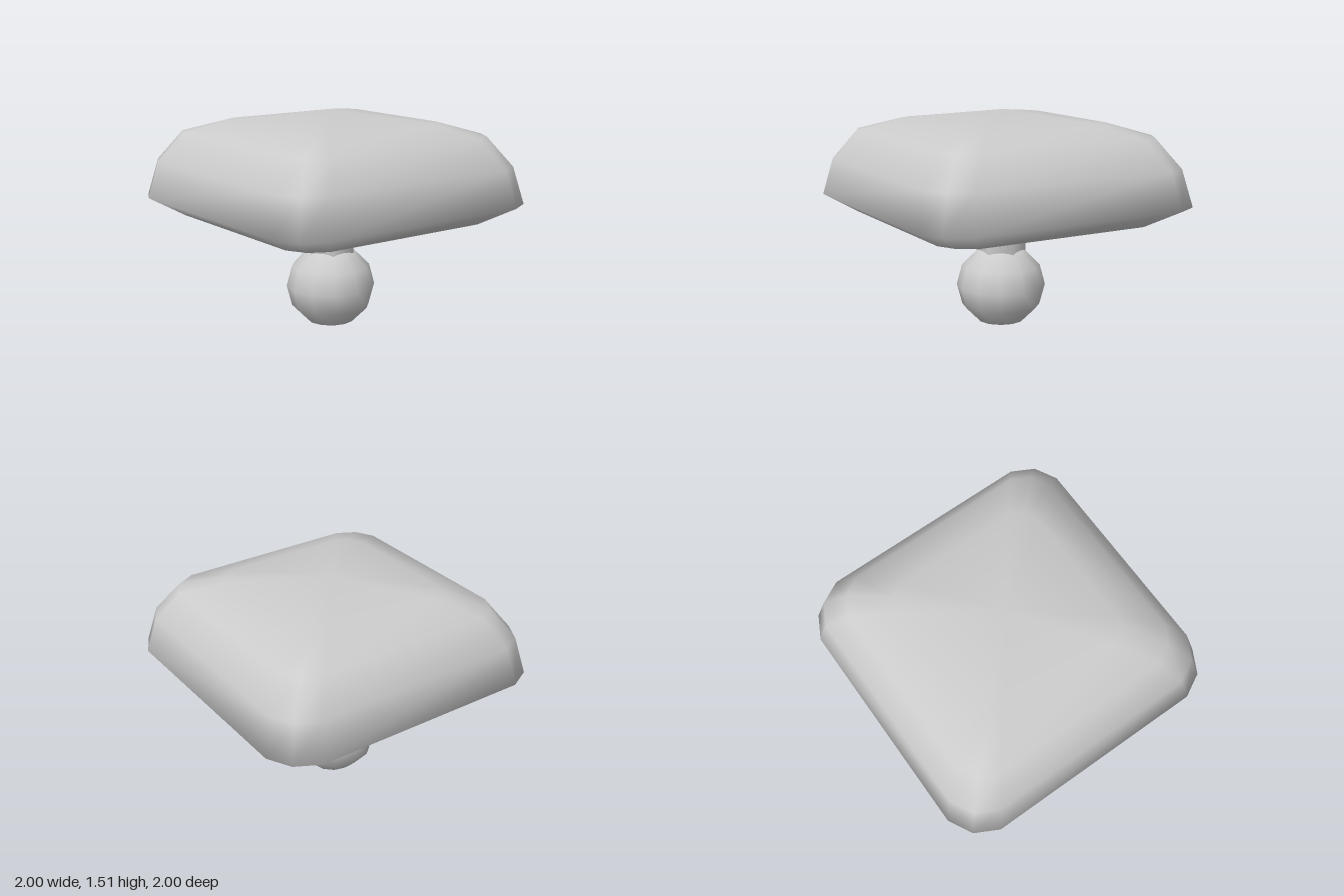
import * as THREE from 'three';

const material = new THREE.MeshStandardMaterial({ color: 0xcccccc });

function addMesh(group, name, geometry, x = 0, y = 0) {
  const mesh = new THREE.Mesh(geometry, material);
  mesh.name = name;
  mesh.position.set(x, y, 0);
  group.add(mesh);
  return mesh;
}

// Pillowy cap: scaled rings of a square with bevelled corners, closed at both poles
function capGeometry() {
  const corner = [[1, 0.76], [0.917, 0.917], [0.76, 1]];
  const outline = [];
  for (let q = 0; q < 4; q++) {
    for (const [a, b] of corner) {
      // quarter turns, running from +x towards +z
      let x = a, z = b;
      for (let k = 0; k < q; k++) [x, z] = [-z, x];
      outline.push([x, z]);
    }
  }
  const rings = [[0.8, 0.78], [1, 0.9], [0.94, 1.15], [0.8, 1.35], [0.56, 1.43]];
  const n = outline.length;
  const positions = [];
  const index = [];
  for (const [r, y] of rings) {
    for (const [x, z] of outline) positions.push(x * r, y, z * r);
  }
  const bottom = n * rings.length;
  const top = bottom + 1;
  positions.push(0, 0.78, 0, 0, 1.51, 0);
  for (let i = 0; i < n; i++) {
    const j = (i + 1) % n;
    for (let k = 0; k < rings.length - 1; k++) {
      const a = k * n + i, b = k * n + j, c = a + n, d = b + n;
      index.push(a, c, b, b, c, d);
    }
    const last = (rings.length - 1) * n;
    index.push(bottom, i, j, top, last + j, last + i);
  }
  const geometry = new THREE.BufferGeometry();
  geometry.setAttribute('position', new THREE.Float32BufferAttribute(positions, 3));
  geometry.setIndex(index);
  geometry.computeVertexNormals();
  return geometry;
}

export function createModel() {
  const group = new THREE.Group();
  group.name = 'knob';
  const offset = -0.008;

  addMesh(group, 'cap', capGeometry());

  // Six-sided stem, corners on the x axis
  const stem = new THREE.CylinderGeometry(0.17, 0.17, 0.4, 6, 1, true);
  stem.rotateY(Math.PI / 6);
  addMesh(group, 'stem', stem, offset, 0.6);

  // Ball foot
  const profile = [[0, 0], [0.16, 0.04], [0.27, 0.15], [0.307, 0.29], [0.27, 0.43], [0.16, 0.54], [0, 0.58]];
  const ball = new THREE.LatheGeometry(profile.map(([r, y]) => new THREE.Vector2(r, y)), 12);
  addMesh(group, 'ball', ball, offset);

  return group;
}
